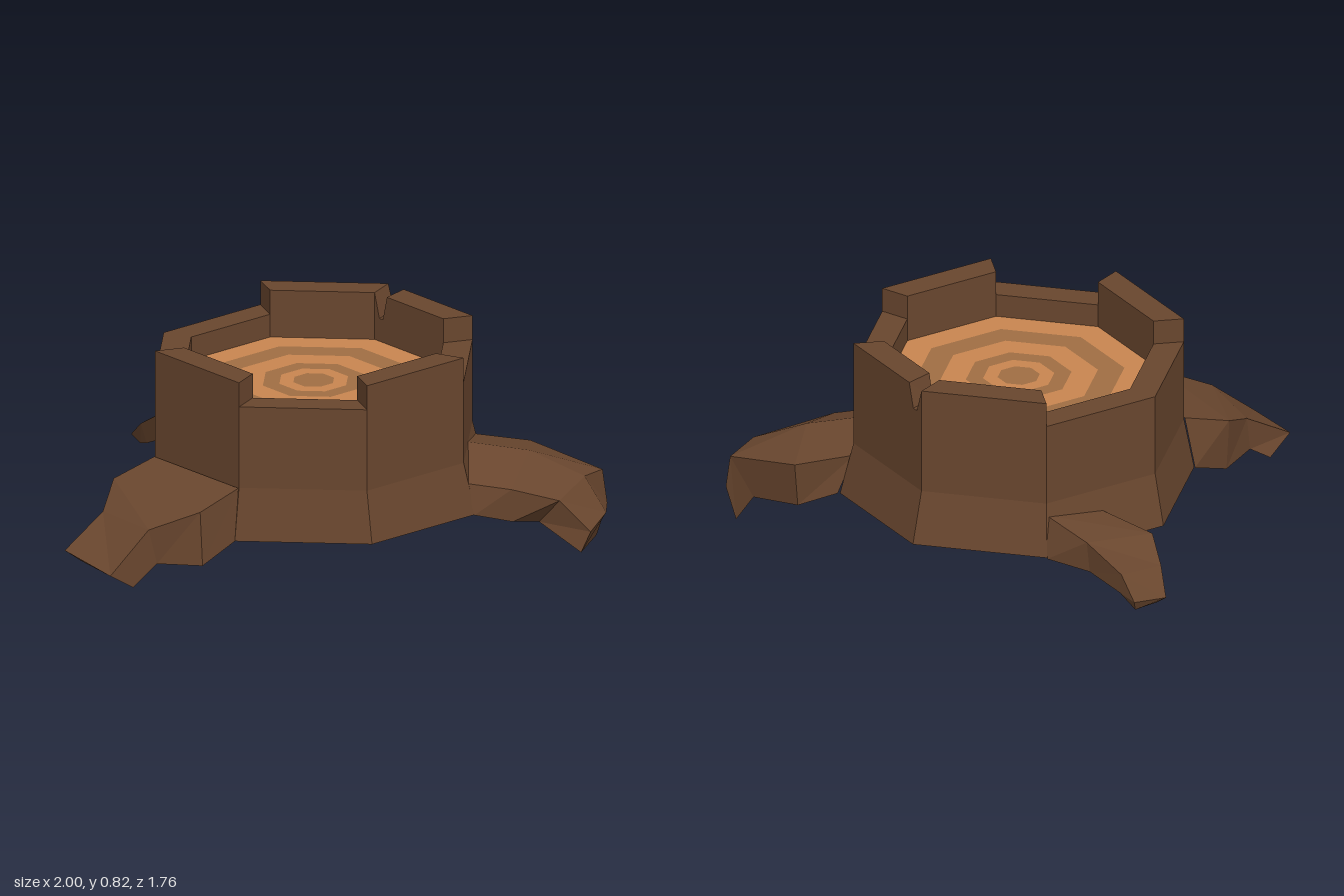
import * as THREE from 'three';

const bark = new THREE.MeshStandardMaterial({ color: 0x69462e, flatShading: true });
const lightWood = new THREE.MeshStandardMaterial({ color: 0xc98650, flatShading: true });
const darkWood = new THREE.MeshStandardMaterial({ color: 0xa06e43, flatShading: true });

const BASE = 0.21, FLARE = 0.41, DISC = 0.64, RIM = 0.73, TOP = 0.825;
const OUTER = 0.625, INNER = 0.51, CX = -0.04, CZ = -0.2;

// Faceted mesh from flat polygons (convex, counter-clockwise from outside)
function facetMesh(name, polygons) {
  const pos = [];
  for (const p of polygons)
    for (let i = 1; i < p.length - 1; i++) pos.push(...p[0], ...p[i], ...p[i + 1]);
  const geo = new THREE.BufferGeometry();
  geo.setAttribute('position', new THREE.Float32BufferAttribute(pos, 3));
  geo.computeVertexNormals();
  const mesh = new THREE.Mesh(geo, bark);
  mesh.name = name;
  return mesh;
}

// Polygons joining consecutive cross-sections
function loft(sections, { closed = true, capStart = false, capEnd = false } = {}) {
  const out = [];
  const n = sections[0].length;
  for (let i = 0; i < sections.length - 1; i++) {
    const a = sections[i], b = sections[i + 1];
    for (let j = 0; j < (closed ? n : n - 1); j++) {
      const k = (j + 1) % n;
      out.push([a[j], b[j], b[k], a[k]]);
    }
  }
  if (capStart) out.push(sections[0]);
  if (capEnd) out.push([...sections.at(-1)].reverse());
  return out;
}

// Octagon corner: 0 is the front, counting towards +x
function corner(k, r, y, dz = 0) {
  const a = (k * Math.PI) / 4;
  return [CX + r * Math.sin(a), y, CZ + dz + r * Math.cos(a)];
}

// Point at fraction t along an octagon side
function onSide(k, t, r, y) {
  const a = corner(k, r, y), b = corner(k + 1, r, y);
  return a.map((v, i) => v + (b[i] - v) * t);
}

// Raised bark block on one side; each end may lean between bottom and top
function block(k, startBottom, startTop, endBottom, endTop) {
  const end = (tb, tt) => [
    onSide(k, tb, OUTER, RIM), onSide(k, tt, OUTER, TOP),
    onSide(k, tt, INNER, TOP), onSide(k, tb, INNER, RIM),
  ];
  return loft([end(startBottom, startTop), end(endBottom, endTop)],
    { closed: false, capStart: true, capEnd: true });
}

export function createModel() {
  const model = new THREE.Group();
  model.name = 'treeStump';

  // Trunk: flared foot, upright wall, low rim and inner wall
  const profiles = [];
  for (let k = 0; k <= 8; k++)
    profiles.push([
      corner(k, 0.67, BASE, -0.01), corner(k, OUTER, FLARE),
      corner(k, OUTER, RIM), corner(k, INNER, RIM), corner(k, INNER, DISC),
    ]);
  const underside = profiles.slice(0, 8).map((p) => p[0]).reverse();
  model.add(facetMesh('trunk', [...loft(profiles, { closed: false }), underside]));

  // Raised bark, with a V-shaped notch at the back
  model.add(facetMesh('raisedBark', [
    ...block(7, 0, 0, 1, 1),
    ...block(1, 0, 0, 1, 1),
    ...block(3, 0, 0, 0.88, 0.82),
    ...block(3, 0.93, 1, 1, 1),
    ...block(4, 0, 0, 1, 1),
  ]));

  // Growth rings on the cut face
  const radii = [INNER, 0.4, 0.3, 0.2, 0.135, 0.08, 0];
  const rings = new THREE.Group();
  rings.name = 'growthRings';
  for (let i = 0; i < radii.length - 1; i++) {
    const geo = radii[i + 1] > 0
      ? new THREE.RingGeometry(radii[i + 1], radii[i], 8)
      : new THREE.CircleGeometry(radii[i], 8);
    geo.rotateX(-Math.PI / 2);
    const ring = new THREE.Mesh(geo, i % 2 ? darkWood : lightWood);
    ring.name = 'growthRing' + (i + 1);
    ring.position.set(CX, DISC, CZ);
    rings.add(ring);
  }
  model.add(rings);

  // Front root: top left, top right, bottom right, bottom left
  model.add(facetMesh('frontRoot', loft([
    [[-0.48, 0.41, 0.25], [-0.04, 0.41, 0.43], [-0.04, 0.21, 0.46], [-0.52, 0.21, 0.26]],
    [[-0.57, 0.36, 0.41], [-0.11, 0.36, 0.61], [-0.1, 0.15, 0.61], [-0.55, 0.15, 0.42]],
    [[-0.53, 0.29, 0.58], [-0.27, 0.3, 0.72], [-0.25, 0.16, 0.69], [-0.53, 0.155, 0.6]],
    [[-0.6, 0.18, 0.76], [-0.35, 0.155, 0.88], [-0.3, 0.09, 0.79], [-0.58, 0.11, 0.66]],
  ], { capEnd: true })));

  // Left root: front top, ridge, back top, back bottom, front bottom
  model.add(facetMesh('leftRoot', loft([
    [[0.59, 0.33, -0.2], [0.49, 0.41, -0.42], [0.4, 0.36, -0.64], [0.44, 0.21, -0.69], [0.63, 0.21, -0.2]],
    [[0.74, 0.3, -0.29], [0.69, 0.37, -0.54], [0.58, 0.32, -0.77], [0.58, 0.145, -0.75], [0.74, 0.17, -0.3]],
    [[0.88, 0.24, -0.41], [0.89, 0.28, -0.6], [0.89, 0.26, -0.75], [0.79, 0.115, -0.74], [0.79, 0.14, -0.42]],
    [[1.0, 0.13, -0.43], [0.98, 0.15, -0.6], [0.91, 0.13, -0.75], [0.87, 0, -0.74], [0.97, 0.05, -0.41]],
  ], { capEnd: true })));

  // Right root: back top, front top, front bottom, back bottom
  model.add(facetMesh('rightRoot', loft([
    [[-0.48, 0.36, -0.64], [-0.57, 0.33, -0.43], [-0.6, 0.21, -0.43], [-0.52, 0.21, -0.69]],
    [[-0.69, 0.32, -0.675], [-0.82, 0.3, -0.435], [-0.8, 0.21, -0.44], [-0.7, 0.2, -0.67]],
    [[-0.87, 0.25, -0.705], [-0.92, 0.23, -0.52], [-0.89, 0.16, -0.51], [-0.86, 0.17, -0.7]],
    [[-0.94, 0.16, -0.72], [-1.0, 0.15, -0.6], [-0.96, 0.12, -0.6], [-0.93, 0.12, -0.7]],
  ], { capEnd: true })));

  return model;
}
